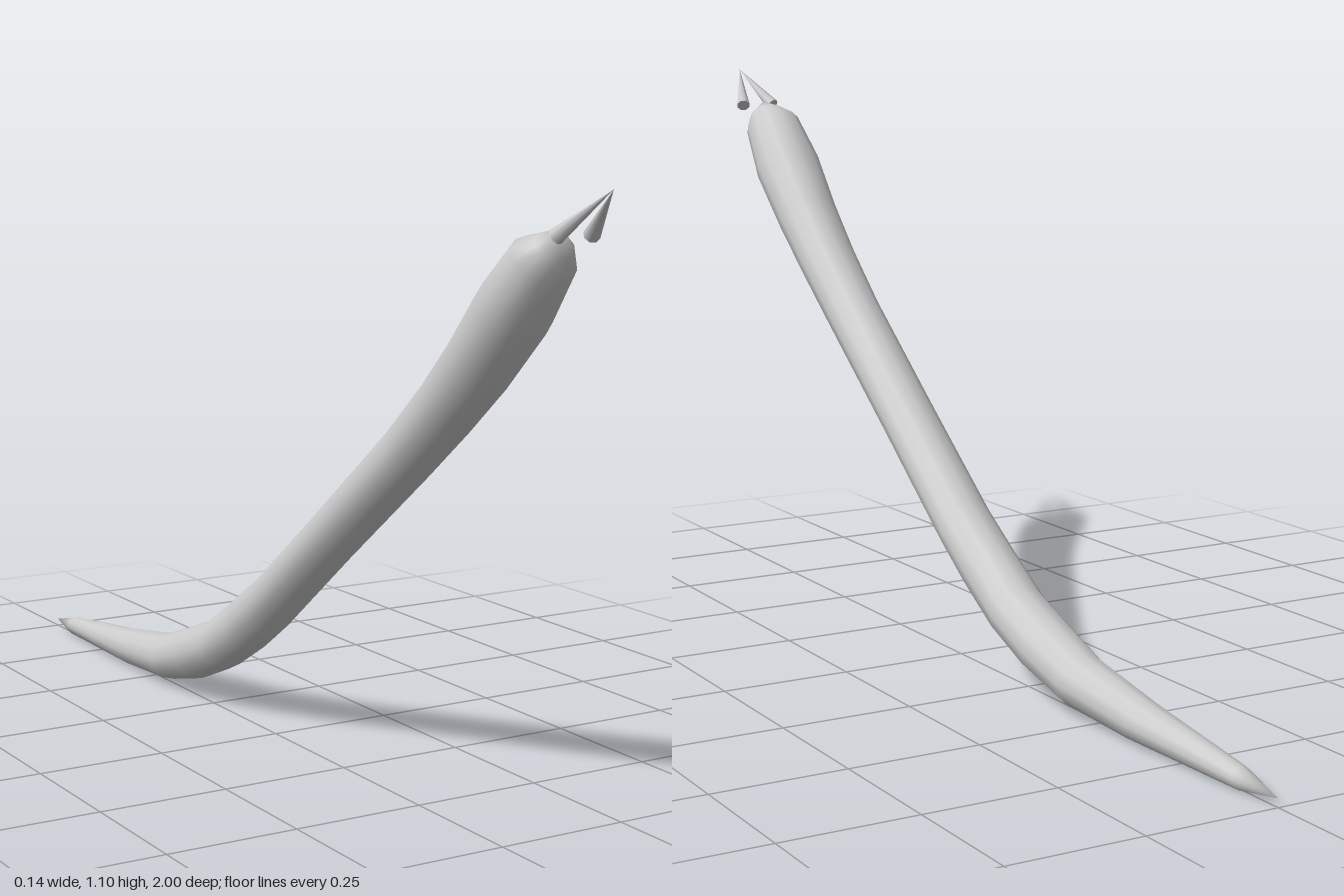
import * as THREE from 'three';

const SIDES = 12;

// Each station: lower edge (z, y), upper edge (z, y), half width
const STATIONS = [
  [-0.91, 0.005, -0.90, 0.045, 0.02],
  [-0.60, 0.005, -0.65, 0.076, 0.041],
  [-0.42, 0.015, -0.44, 0.110, 0.053],
  [-0.30, 0.045, -0.33, 0.149, 0.058],
  [-0.19, 0.090, -0.23, 0.187, 0.058],
  [-0.09, 0.148, -0.13, 0.250, 0.057],
  [0.00, 0.210, -0.03, 0.315, 0.056],
  [0.23, 0.390, 0.18, 0.475, 0.056],
  [0.48, 0.580, 0.42, 0.663, 0.057],
  [0.60, 0.675, 0.53, 0.760, 0.060],
  [0.70, 0.760, 0.62, 0.850, 0.064],
  [0.80, 0.860, 0.71, 0.950, 0.070],
  [0.87, 0.955, 0.79, 1.025, 0.059],
  [0.875, 0.992, 0.84, 1.035, 0.038],
];
const TAIL_TIP = [0, 0.02, -1];
const NOSE_TIP = [0, 1.04, 0.875];

// Elliptical rings lofted along the stations, closed by a point at each end
function bodyGeometry() {
  const pos = [...TAIL_TIP];
  const index = [];
  for (const [lz, ly, uz, uy, w] of STATIONS) {
    for (let i = 0; i < SIDES; i++) {
      const a = (i / SIDES) * Math.PI * 2;
      const t = 0.5 + 0.5 * Math.sin(a);
      pos.push(w * Math.cos(a), ly + (uy - ly) * t, lz + (uz - lz) * t);
    }
  }
  const nose = pos.length / 3;
  pos.push(...NOSE_TIP);
  const last = STATIONS.length - 1;
  const at = (ring, i) => 1 + ring * SIDES + (i % SIDES);
  for (let i = 0; i < SIDES; i++) {
    index.push(0, at(0, i + 1), at(0, i));
    for (let r = 0; r < last; r++) {
      index.push(at(r, i), at(r, i + 1), at(r + 1, i + 1));
      index.push(at(r, i), at(r + 1, i + 1), at(r + 1, i));
    }
    index.push(at(last, i), at(last, i + 1), nose);
  }
  const g = new THREE.BufferGeometry();
  g.setAttribute('position', new THREE.Float32BufferAttribute(pos, 3));
  g.setIndex(index);
  g.computeVertexNormals();
  return g;
}

// Cone running from a base centre to its tip
function spike(base, tip, radius, material) {
  const dir = tip.clone().sub(base);
  const mesh = new THREE.Mesh(new THREE.ConeGeometry(radius, dir.length(), 8), material);
  mesh.position.copy(base).add(tip).multiplyScalar(0.5);
  mesh.quaternion.setFromUnitVectors(new THREE.Vector3(0, 1, 0), dir.normalize());
  return mesh;
}

export function createModel() {
  const model = new THREE.Group();
  const grey = new THREE.MeshStandardMaterial({ color: 0xcccccc });

  // Long curved body with tapering tail and swollen head
  const body = new THREE.Mesh(bodyGeometry(), grey);
  body.name = 'body';
  model.add(body);

  // Pair of spikes meeting at a point ahead of the head
  const tip = new THREE.Vector3(0, 1.107, 1);
  for (const side of [1, -1]) {
    const fang = spike(new THREE.Vector3(0.035 * side, 1.031, 0.905), tip, 0.014, grey);
    fang.name = side > 0 ? 'leftFang' : 'rightFang';
    model.add(fang);
  }
  return model;
}
